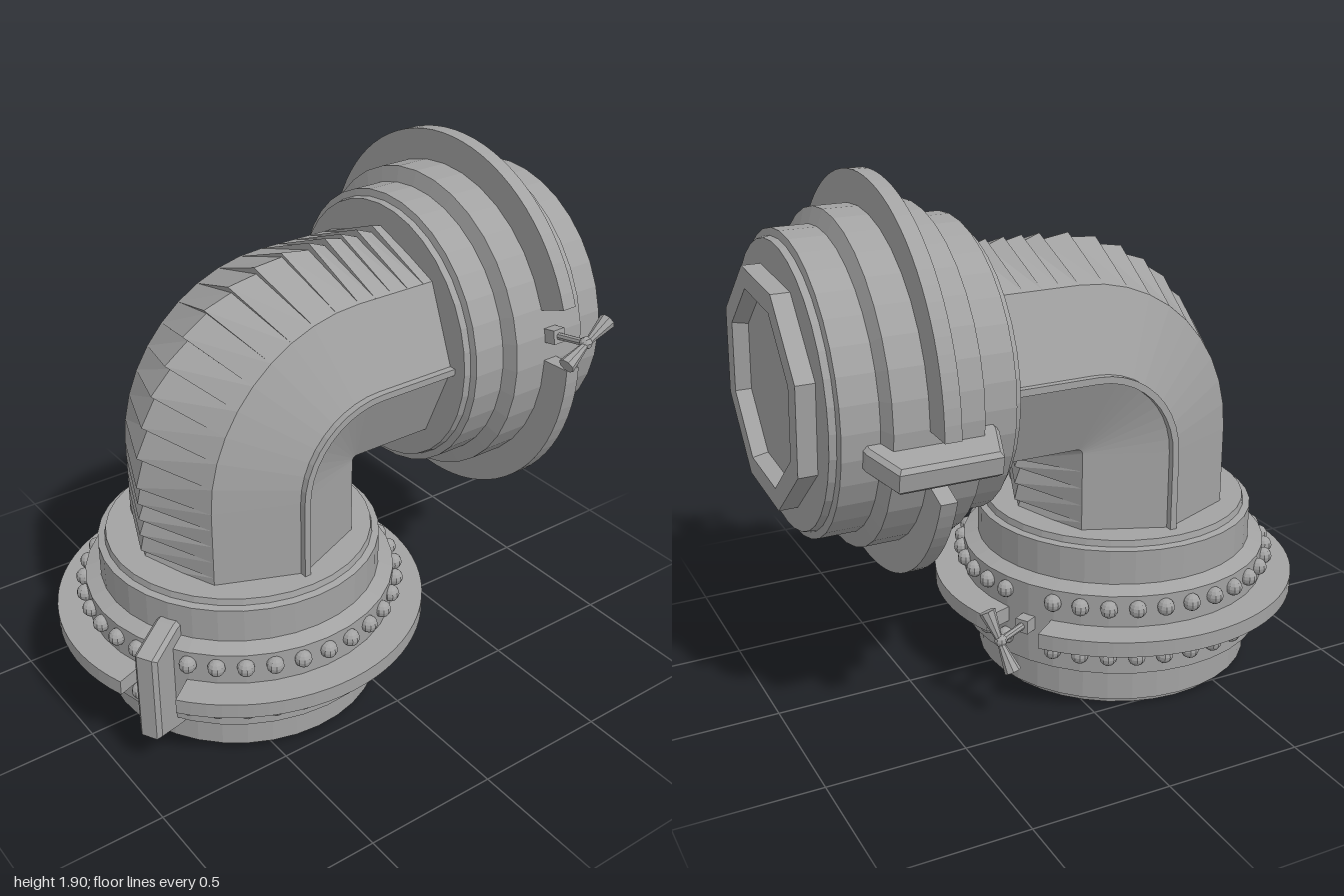
import * as THREE from 'three';

const grey = new THREE.MeshStandardMaterial({ color: 0xa2a2a2, flatShading: true });
grey.name = 'grey metal';

const CX = -0.045;                 // shared centre plane
const PY = 0.92, PZ = 0.01;        // pivot of the bend
const BEND = 0.31;                 // centreline radius of the bend
const deg = THREE.MathUtils.degToRad;

function add(parent, name, geometry) {
  const mesh = new THREE.Mesh(geometry, grey);
  mesh.name = name;
  parent.add(mesh);
  return mesh;
}

// Point on the elbow: t < 0 is the upright leg, 0..1 the bend, t > 1 the rear leg.
// Points inside the pivot meet in a mitred corner.
function elbowPoint(o, x, t) {
  const r = BEND + o, inner = Math.min(r, 0);
  if (t < 0) return [CX + x, Math.min(PY + t, PY + inner), PZ + r];
  if (t > 1) return [CX + x, PY + r, Math.min(PZ - (t - 1), PZ + inner)];
  if (r < 0) return [CX + x, PY + r, PZ + r];
  const a = t * Math.PI / 2;
  return [CX + x, PY + r * Math.sin(a), PZ + r * Math.cos(a)];
}

// Skin a list of { t, section } rings along the elbow
function sweep(rings) {
  const pos = [];
  const n = rings[0].section.length;
  const pt = (i, j) => elbowPoint(...rings[i].section[j % n], rings[i].t);
  for (let i = 0; i < rings.length - 1; i++) {
    for (let j = 0; j < n; j++) {
      const a = pt(i, j), b = pt(i, j + 1), c = pt(i + 1, j + 1), d = pt(i + 1, j);
      pos.push(...a, ...b, ...c, ...a, ...c, ...d);
    }
  }
  const g = new THREE.BufferGeometry();
  g.setAttribute('position', new THREE.Float32BufferAttribute(pos, 3));
  g.computeVertexNormals();
  return g;
}

function stations() {
  const list = [];
  for (let i = 0; i < 5; i++) list.push(-0.32 + i * 0.064);
  for (let i = 0; i < 10; i++) list.push(i / 10);
  for (let i = 0; i <= 5; i++) list.push(1 + i * 0.068);
  return list;
}

// Octagonal section; the ridges at front and back vary to form creased sleeves
function octagon(ridge) {
  return Array.from({ length: 8 }, (_, j) => {
    const a = j * Math.PI / 4, r = j % 4 === 0 ? ridge : 0.41;
    return [r * Math.cos(a), r * Math.sin(a)];
  });
}

function buildElbow() {
  const elbow = new THREE.Group();
  elbow.name = 'elbow';
  const ts = stations(), rings = [];
  for (let i = 0; i < ts.length - 1; i++) {
    rings.push({ t: ts[i], section: octagon(0.408) });
    rings.push({ t: ts[i + 1], section: octagon(i % 3 === 1 ? 0.392 : 0.382) });
  }
  add(elbow, 'creasedPipe', sweep(rings));

  // Raised seam along each side
  const strip = [[0.012, 0.39], [0.012, 0.43], [-0.012, 0.43], [-0.012, 0.39]];
  const mirrored = strip.map(([o, x]) => [o, -x]).reverse();
  for (const [name, section] of [['leftSeam', strip], ['rightSeam', mirrored]]) {
    add(elbow, name, sweep(ts.map(t => ({ t, section }))));
  }
  return elbow;
}

// Half of the flat flange, leaving gaps for the clamp and the bolt
function flangeGeometry() {
  const gap = deg(9.2), shape = new THREE.Shape();
  shape.absarc(0, 0, 0.675, gap, Math.PI - gap, false);
  shape.absarc(0, 0, 0.54, Math.PI - gap, gap, true);
  shape.closePath();
  const g = new THREE.ExtrudeGeometry(shape, { depth: 0.056, bevelEnabled: false, curveSegments: 18 });
  return g.translate(0, 0, -0.028).rotateX(-Math.PI / 2);
}

function buildWingBolt() {
  const bolt = new THREE.Group();
  bolt.name = 'wingBolt';
  add(bolt, 'boltBracket', new THREE.BoxGeometry(0.05, 0.05, 0.05)).position.x = -0.585;
  add(bolt, 'boltShaft', new THREE.CylinderGeometry(0.013, 0.013, 0.16, 8).rotateZ(Math.PI / 2))
    .position.x = -0.66;
  add(bolt, 'boltHub', new THREE.SphereGeometry(0.023, 8, 6)).position.x = -0.735;
  // Two flared wings
  const wings = new THREE.Group();
  wings.name = 'wings';
  wings.position.x = -0.74;
  wings.rotation.x = deg(-28);
  for (const s of [1, -1]) {
    const wing = add(wings, 'wing', new THREE.CylinderGeometry(0.03, 0.012, 0.105, 8));
    wing.position.y = s * 0.06;
    if (s < 0) wing.rotation.x = Math.PI;
  }
  bolt.add(wings);
  return bolt;
}

// Collar around its own y axis, clamp at +x, bolt at -x
function buildCollar(name, recess) {
  const collar = new THREE.Group();
  collar.name = name;
  const profile = [
    [0, recess - 0.318], [0.39, recess - 0.318], [0.39, -0.318], [0.48, -0.318], [0.485, -0.295],
    [0.51, -0.29], [0.51, -0.17], [0.565, -0.155], [0.565, 0.145], [0.51, 0.165],
    [0.51, 0.29], [0.485, 0.295], [0.48, 0.318], [0, 0.318],
  ].map(p => new THREE.Vector2(...p));
  add(collar, 'collarBody', new THREE.LatheGeometry(profile, 36));

  for (const turn of [0, Math.PI]) add(collar, 'flangeHalf', flangeGeometry()).rotation.y = turn;

  // Clamp block with sloping ends
  const side = new THREE.Shape([
    [0.46, -0.225], [0.53, -0.22], [0.675, -0.17], [0.675, 0.17], [0.53, 0.22], [0.46, 0.225],
  ].map(p => new THREE.Vector2(...p)));
  add(collar, 'clamp', new THREE.ExtrudeGeometry(side, {
    depth: 0.06, bevelEnabled: true, bevelThickness: 0.014, bevelSize: 0.014, bevelOffset: -0.014, bevelSegments: 1,
  }).translate(0, 0, -0.03));

  collar.add(buildWingBolt());
  return collar;
}

export function createModel() {
  const model = new THREE.Group();
  model.name = 'pipeElbow';
  model.add(buildElbow());

  // Lower collar with two rows of rivets
  const lower = buildCollar('lowerCollar', 0.05);
  lower.position.set(CX, 0.318, 0.325);
  lower.rotation.y = deg(-61);
  const rivet = new THREE.SphereGeometry(0.031, 10, 8);
  for (const y of [-0.085, 0.1]) {
    for (let i = 1; i < 36; i++) {
      if (i === 18) continue;
      const a = deg(i * 10);
      add(lower, 'rivet', rivet).position.set(0.572 * Math.cos(a), y, 0.572 * Math.sin(a));
    }
  }
  model.add(lower);

  // Rear collar with an octagonal stub
  const rear = buildCollar('rearCollar', 0);
  rear.position.set(CX, 1.228, -0.618);
  rear.rotation.set(-Math.PI / 2, 0, deg(191), 'ZYX');
  const stub = [[0.4, 0.3], [0.4, 0.382], [0.325, 0.382], [0.31, 0.33], [0, 0.33]];
  add(rear, 'octagonalStub', new THREE.LatheGeometry(stub.map(p => new THREE.Vector2(...p)), 8))
    .rotation.y = deg(-16);
  model.add(rear);

  return model;
}
